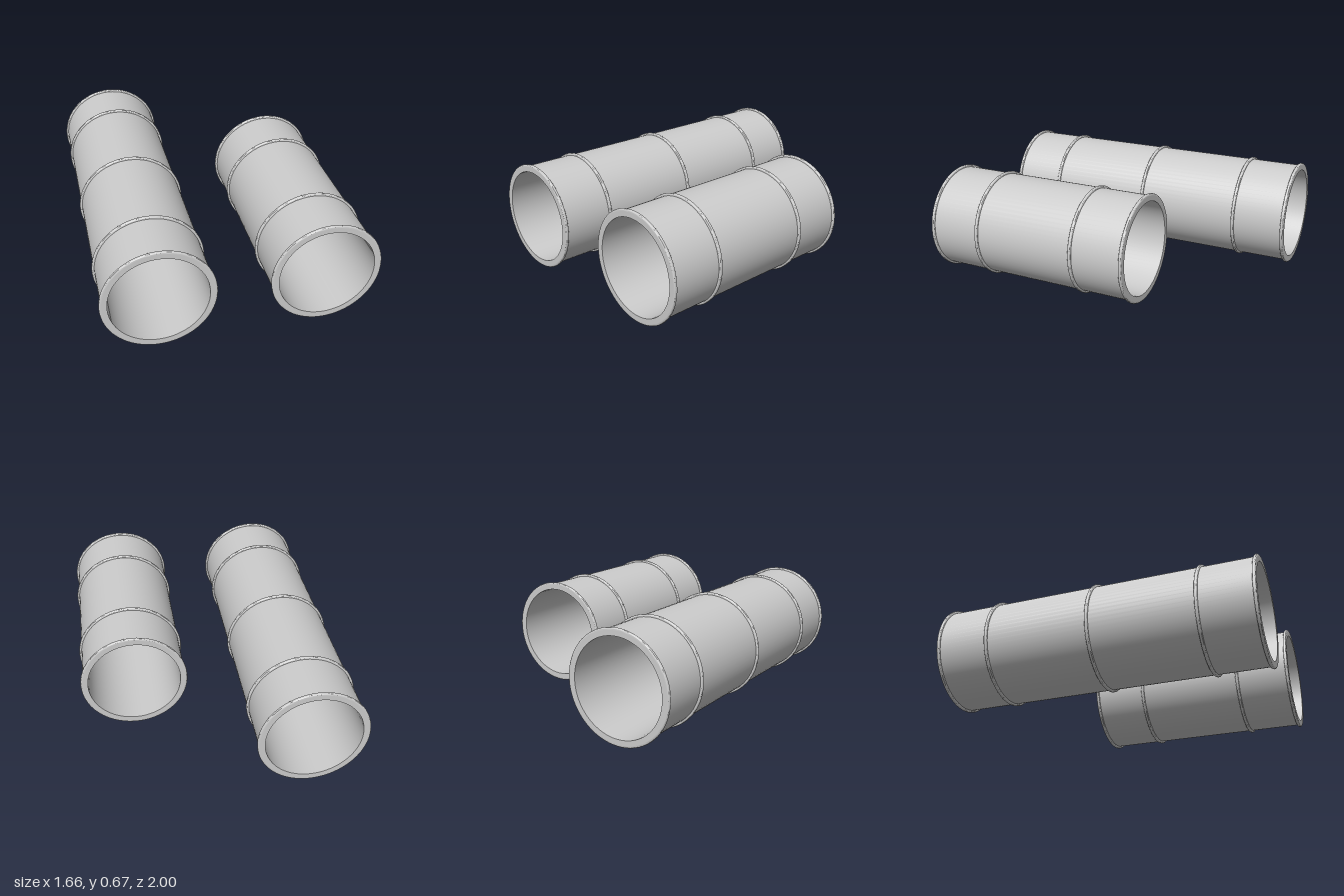
import * as THREE from 'three';
import { toCreasedNormals } from 'three/addons/utils/BufferGeometryUtils.js';

const BODY = 0.323, BORE = 0.292, RIM = 0.337, HALF = 0.01, SEGMENTS = 72;
const material = new THREE.MeshStandardMaterial({ color: 0xcccccc });

// Revolve a [radius, z] profile about the z axis
function revolve(name, profile, crease) {
  const points = profile.map(([r, z]) => new THREE.Vector2(r, z));
  const geometry = toCreasedNormals(new THREE.LatheGeometry(points, SEGMENTS), crease);
  geometry.rotateX(Math.PI / 2);
  const mesh = new THREE.Mesh(geometry, material);
  mesh.name = name;
  return mesh;
}

// Raised band with a rounded outer edge
function createRib(name, z) {
  const profile = [[BODY, -HALF]];
  const bulge = 0.008;
  for (let i = 0; i <= 8; i++) {
    const a = -Math.PI / 2 + (i / 8) * Math.PI;
    profile.push([RIM - bulge + bulge * Math.cos(a), HALF * Math.sin(a)]);
  }
  profile.push([BODY, HALF]);
  const rib = revolve(name, profile, 0.7);
  rib.position.z = z;
  return rib;
}

// Open hollow pipe with a rim at each end and ribs between
function createPipe(name, x, back, front, ribs) {
  const pipe = new THREE.Group();
  pipe.name = name;
  pipe.add(revolve('pipeWall', [
    [BODY, back], [BODY, front], [BORE, front], [BORE, back], [BODY, back],
  ], 0.6));
  pipe.add(createRib('backRim', back + HALF), createRib('frontRim', front - HALF));
  ribs.forEach((z, i) => pipe.add(createRib(`rib${i + 1}`, z)));
  pipe.position.set(x, RIM, 0);
  return pipe;
}

export function createModel() {
  const model = new THREE.Group();
  model.name = 'ribbedPipes';
  model.add(
    createPipe('longPipe', -0.495, -1, 1, [-0.66, 0, 0.66]),
    createPipe('shortPipe', 0.495, -0.34, 1, [0, 0.66]),
  );
  return model;
}
